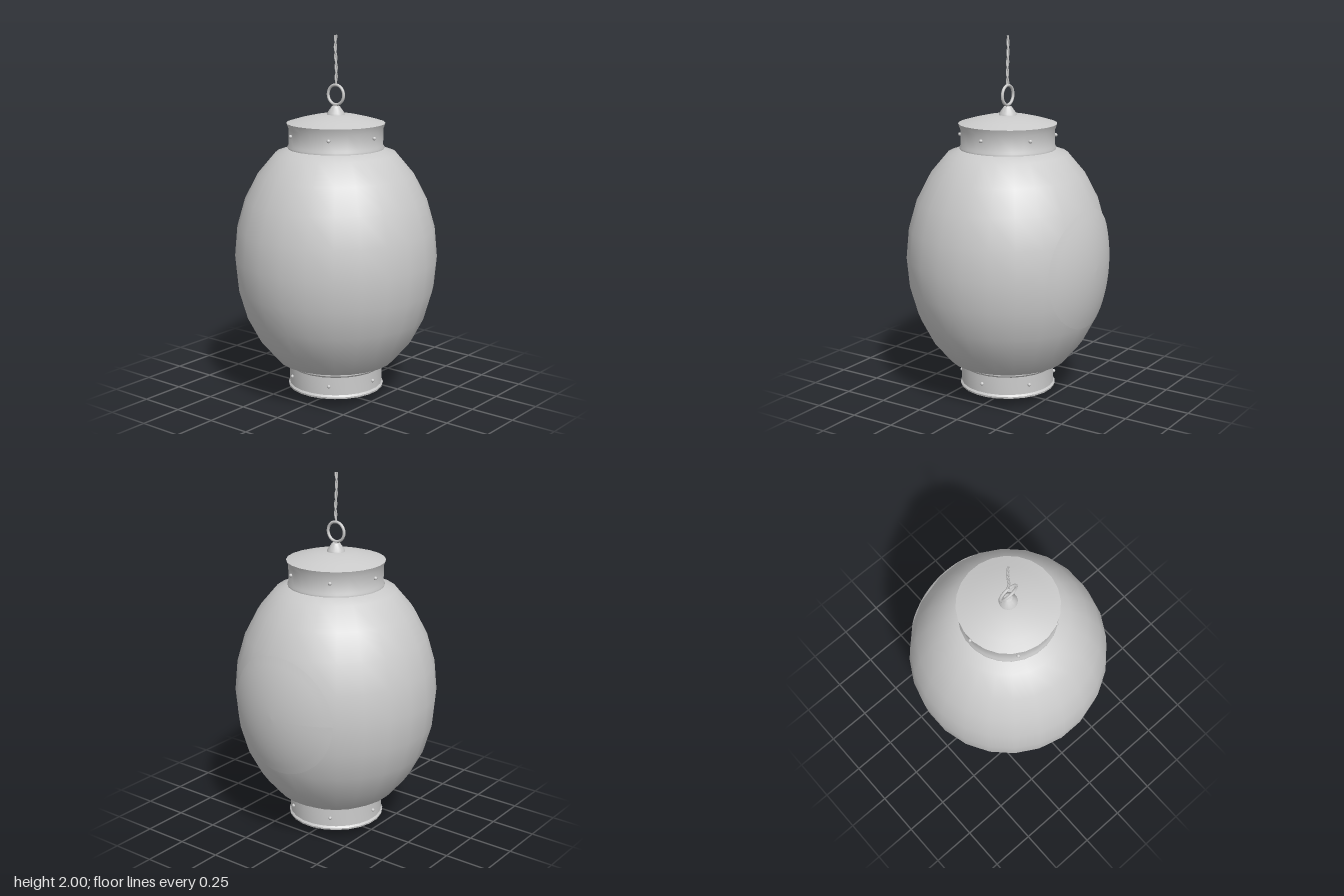
import * as THREE from 'three';
import { toCreasedNormals } from 'three/addons/utils/BufferGeometryUtils.js';

const SIDES = 24, HALF = Math.PI / SIDES;
const MID = 0.793, R = 0.557, H = 0.715; // paper body: centre height, radius, half height

export function createModel() {
  const model = new THREE.Group();
  const mat = new THREE.MeshStandardMaterial({ color: 0xcccccc });
  const thin = new THREE.MeshStandardMaterial({ color: 0xcccccc, side: THREE.DoubleSide });

  const add = (name, geo, material = mat, parent = model) => {
    const mesh = new THREE.Mesh(geo, material);
    mesh.name = name;
    parent.add(mesh);
    return mesh;
  };
  // Profile of [radius, y] pairs, bottom to top
  const lathe = (pts, sides = SIDES) => new THREE.LatheGeometry(
    pts.map(([r, y]) => new THREE.Vector2(r, y)), sides, HALF);
  const hard = (pts, sides) => toCreasedNormals(lathe(pts, sides), 0.6);

  // Egg-shaped paper body, drawn in to a neck at both ends
  const profile = [[0.25, 0.19]];
  for (let i = -4; i <= 4; i++) {
    const a = THREE.MathUtils.degToRad(i * 13.5);
    profile.push([R * Math.cos(a), MID + H * Math.sin(a)]);
  }
  profile.push([0.25, 1.396]);
  add('paperBody', lathe(profile), thin);

  // Round patch wrapped on the back of the body
  const patch = new THREE.RingGeometry(0.001, 0.325, 40, 8);
  const p = patch.attributes.position;
  for (let i = 0; i < p.count; i++) {
    const x = p.getX(i), y = p.getY(i);
    const r = R * Math.sqrt(1 - (y / H) ** 2) + 0.003;
    p.setXYZ(i, -x, MID + y, -Math.sqrt(r * r - x * x));
  }
  patch.computeVertexNormals();
  add('backPatch', patch, thin);

  // Top and bottom caps with thin flared rims
  add('topCap', hard([[0, 1.396], [0.262, 1.396], [0.262, 1.405], [0.256, 1.415],
    [0.256, 1.5], [0.268, 1.533], [0.2, 1.553], [0.11, 1.574], [0, 1.58]]));
  add('bottomCap', hard([[0, 0.055], [0.264, 0.055], [0.266, 0.065], [0.258, 0.075],
    [0.258, 0.175], [0.266, 0.185], [0.266, 0.195], [0, 0.195]]));

  // Six rivets around each cap
  const rivets = new THREE.Group();
  rivets.name = 'rivets';
  model.add(rivets);
  const rivetGeo = new THREE.SphereGeometry(0.01, 8, 6);
  for (const y of [0.125, 1.47]) {
    for (let i = 0; i < 6; i++) {
      const a = i * Math.PI / 3;
      add('rivet', rivetGeo, mat, rivets)
        .position.set(0.259 * Math.cos(a), y, 0.259 * Math.sin(a));
    }
  }

  // Small knobs above and below
  add('topKnob', hard([[0.05, 1.572], [0.047, 1.586], [0.03, 1.61], [0.022, 1.622], [0, 1.627]], 16));
  add('bottomKnob', hard([[0, 0], [0.018, 0.004], [0.03, 0.02], [0.045, 0.036], [0.047, 0.058]], 16));

  // Hanging ring
  add('hangingRing', new THREE.TorusGeometry(0.053, 0.008, 8, 24)).position.y = 1.683;

  // Twisted cord of two strands
  for (const side of [0, Math.PI]) {
    const pts = [];
    for (let i = 0; i <= 32; i++) {
      const t = i / 32, a = side + t * Math.PI * 5;
      pts.push(new THREE.Vector3(
        0.004 * Math.cos(a) + 0.003 * Math.sin(t * 6), 1.735 + 0.265 * t, 0.004 * Math.sin(a)));
    }
    add('cordStrand', new THREE.TubeGeometry(new THREE.CatmullRomCurve3(pts), 48, 0.005, 6), thin);
  }

  return model;
}
